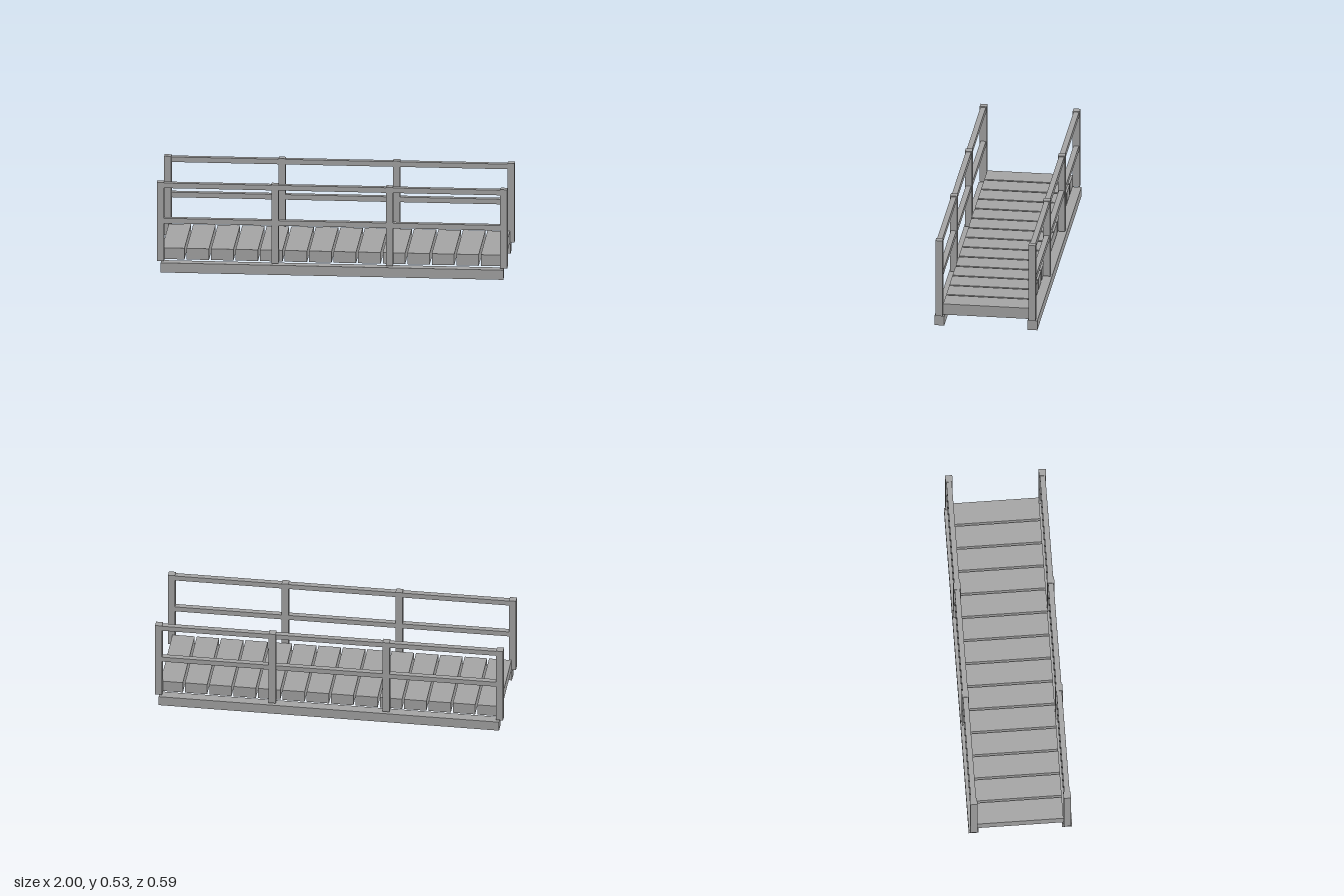
import * as THREE from 'three';

export function createModel() {
  const model = new THREE.Group();
  model.name = 'footbridge';

  const wood = new THREE.MeshStandardMaterial({ color: 0xa6a6a6 });
  wood.name = 'grey wood';

  // Box from its size and centre
  const box = (parent, name, w, h, d, x, y, z) => {
    const mesh = new THREE.Mesh(new THREE.BoxGeometry(w, h, d), wood);
    mesh.name = name;
    mesh.position.set(x, y, z);
    parent.add(mesh);
  };

  // Deck of crosswise planks
  const deck = new THREE.Group();
  deck.name = 'deck';
  for (let i = 0; i < 14; i++) {
    box(deck, 'plank', 0.128, 0.066, 0.492, -0.91 + 0.14 * i, 0.099, 0);
  }
  model.add(deck);

  // Each side: ground beam, posts and two rails
  for (const side of [1, -1]) {
    const z = 0.267 * side;
    box(model, 'groundBeam', 1.956, 0.057, 0.056, 0, 0.0285, z);

    const railing = new THREE.Group();
    railing.name = side > 0 ? 'frontRailing' : 'backRailing';
    for (const x of [-0.98, -0.327, 0.327, 0.98]) {
      box(railing, 'post', 0.04, 0.466, 0.041, x, 0.299, z);
    }
    box(railing, 'topRail', 1.96, 0.03, 0.031, 0, 0.512, z);
    box(railing, 'middleRail', 1.96, 0.03, 0.031, 0, 0.303, z);
    model.add(railing);
  }
  return model;
}
